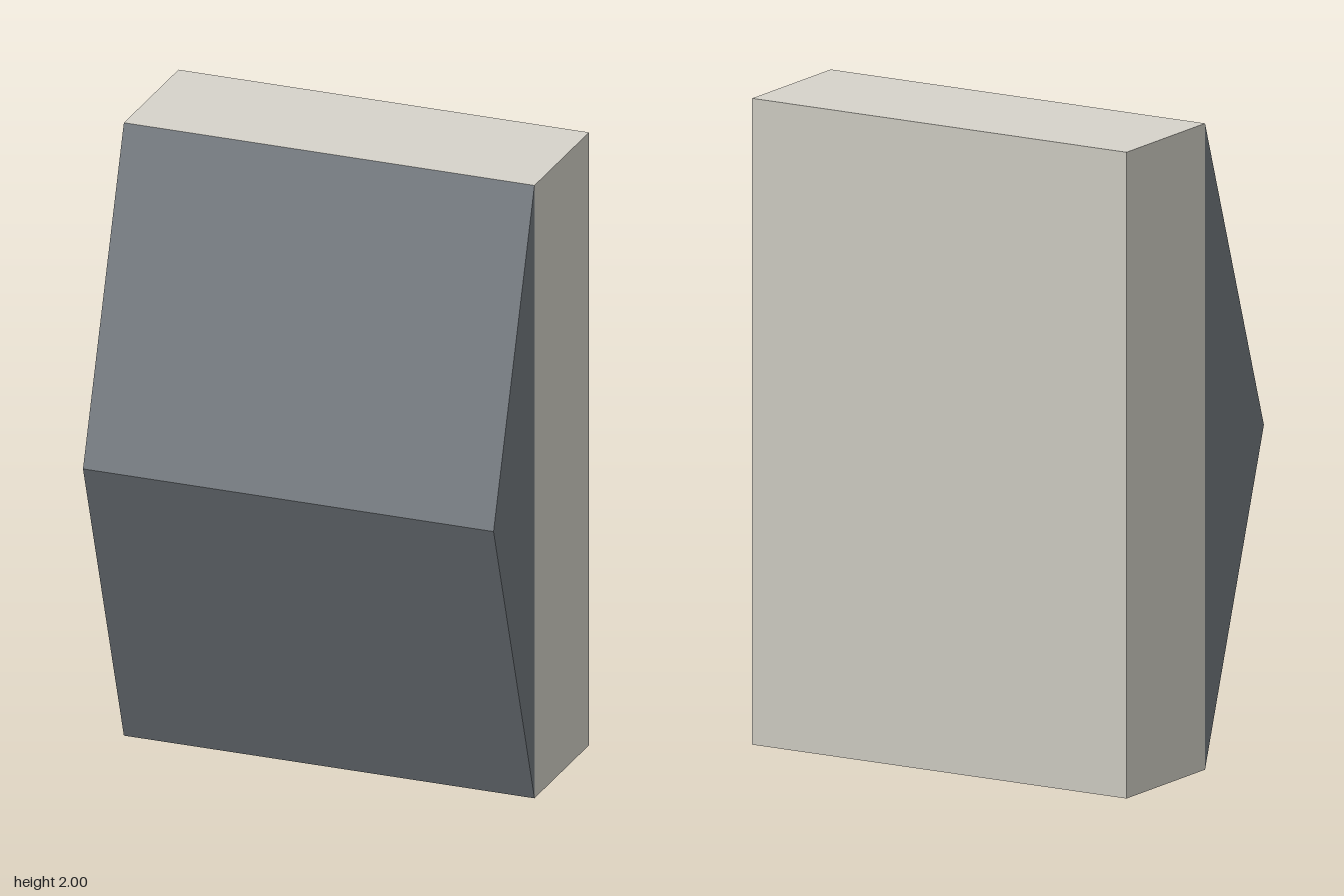
import * as THREE from 'three';

const WIDTH = 1.33, HEIGHT = 2, BACK = -0.39, EAVE = 0.056, RIDGE = 0.39;

export function createModel() {
  const model = new THREE.Group();
  model.name = 'gabledBlock';

  // Rectangular body at the back
  const body = new THREE.Mesh(
    new THREE.BoxGeometry(WIDTH, HEIGHT, EAVE - BACK),
    new THREE.MeshStandardMaterial({ color: 0xd6d3ca, flatShading: true })
  );
  body.name = 'body';
  body.position.set(0, HEIGHT / 2, (EAVE + BACK) / 2);
  model.add(body);

  // Triangular prism roof, its ridge running across the front at mid height
  const gable = new THREE.Shape([
    new THREE.Vector2(EAVE, 0),
    new THREE.Vector2(RIDGE, HEIGHT / 2),
    new THREE.Vector2(EAVE, HEIGHT),
  ]);
  const roofGeometry = new THREE.ExtrudeGeometry(gable, { depth: WIDTH, bevelEnabled: false });
  roofGeometry.rotateY(-Math.PI / 2).translate(WIDTH / 2, 0, 0);
  const roof = new THREE.Mesh(
    roofGeometry,
    new THREE.MeshStandardMaterial({ color: 0x737a80, flatShading: true })
  );
  roof.name = 'roof';
  model.add(roof);

  return model;
}
